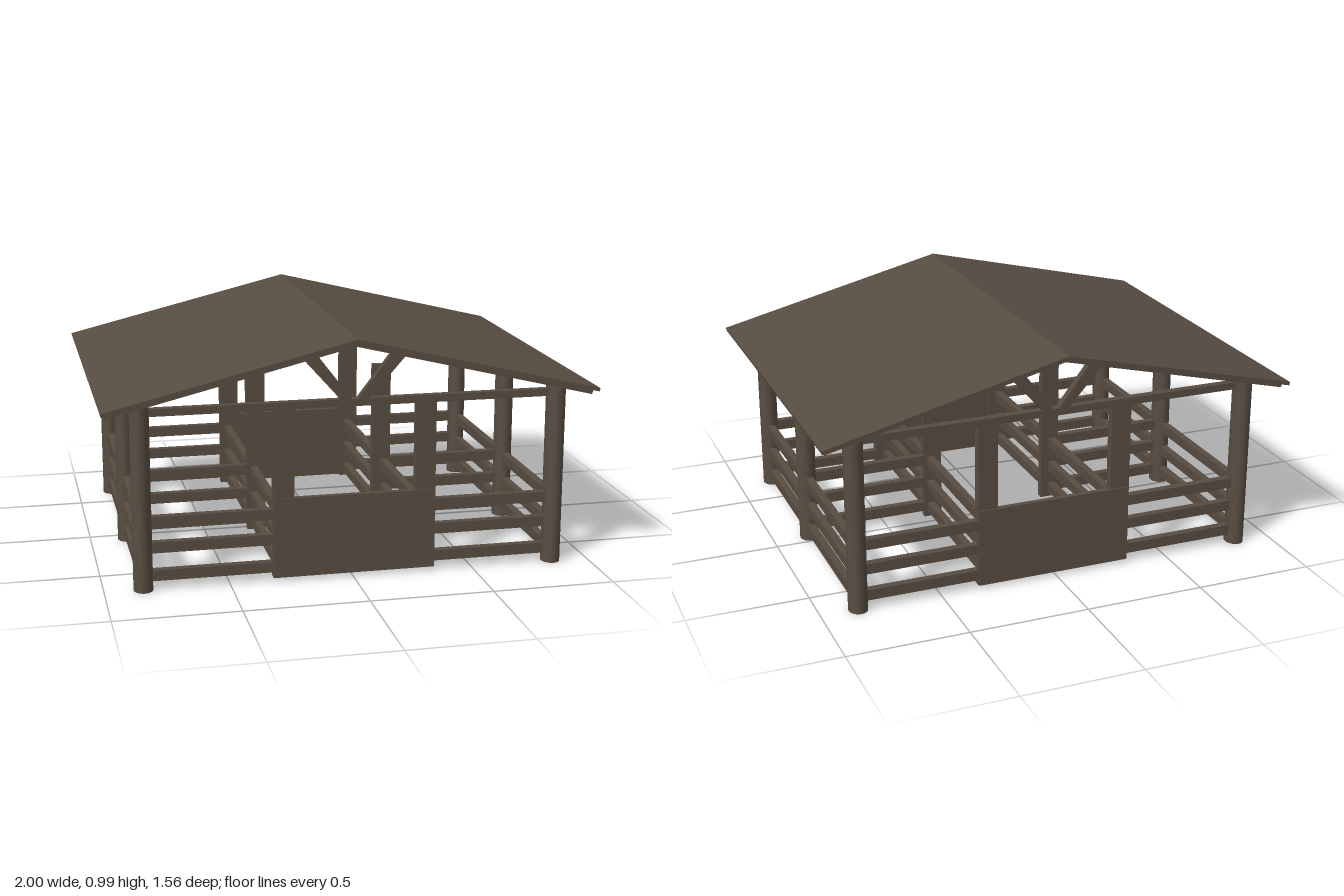
import * as THREE from 'three';

const wood = new THREE.MeshStandardMaterial({ color: 0x574c41 });
wood.name = 'darkWood';

const FRONT = 0.69, MIDDLE = 0.05, BACK = -0.66; // rows of posts along z
const POST_X = 0.845, AISLE_X = 0.29;

export function createModel() {
  const model = new THREE.Group();
  model.name = 'openBarn';

  function add(name, geometry, x = 0, y = 0, z = 0) {
    const mesh = new THREE.Mesh(geometry, wood);
    mesh.name = name;
    mesh.position.set(x, y, z);
    model.add(mesh);
    return mesh;
  }

  // Box given by its minimum and maximum on each axis
  function box(name, x0, x1, y0, y1, z0, z1) {
    return add(name, new THREE.BoxGeometry(x1 - x0, y1 - y0, z1 - z0),
      (x0 + x1) / 2, (y0 + y1) / 2, (z0 + z1) / 2);
  }

  // Gabled roof layer: a bent strip extruded along z
  function roofLayer(name, halfWidth, peak, eave, thickness, depth) {
    const s = new THREE.Shape();
    const inset = thickness * 0.25; // square-cut eave edge
    s.moveTo(-halfWidth, eave);
    s.lineTo(-halfWidth + inset, eave - thickness);
    s.lineTo(0, peak - thickness);
    s.lineTo(halfWidth - inset, eave - thickness);
    s.lineTo(halfWidth, eave);
    s.lineTo(0, peak);
    const g = new THREE.ExtrudeGeometry(s, { depth, bevelEnabled: false });
    add(name, g, 0, 0, -depth / 2);
  }
  roofLayer('roofCovering', 1, 0.988, 0.745, 0.014, 1.56);
  roofLayer('roofBoards', 0.985, 0.974, 0.735, 0.022, 1.49);

  // Round posts, slightly deeper than wide
  const postGeometry = new THREE.CylinderGeometry(1, 1, 0.75, 24);
  postGeometry.scale(0.039, 1, 0.046);
  for (const side of [-1, 1])
    for (const z of [FRONT, MIDDLE, BACK]) add('post', postGeometry, side * POST_X, 0.375, z);

  // Rails along the sides and the central aisle
  for (const side of [-1, 1]) {
    for (const y of [0.055, 0.16, 0.274]) {
      for (const [z0, z1] of [[MIDDLE, FRONT], [BACK, MIDDLE]]) {
        for (const x of [POST_X, AISLE_X])
          box('sideRail', side * x - 0.016, side * x + 0.016, y - 0.021, y + 0.021, z0, z1);
      }
    }
    // Rails across the front, the middle and the back
    for (const y of [0.06, 0.175, 0.28]) {
      for (const z of [FRONT, MIDDLE, BACK]) {
        const a = side * AISLE_X, b = side * (POST_X - 0.02);
        box('crossRail', Math.min(a, b), Math.max(a, b), y - 0.022, y + 0.022, z - 0.016, z + 0.016);
      }
    }
    // Uprights inside, halfway along the aisle
    box('aisleUpright', side * 0.28 - 0.04, side * 0.28 + 0.04, 0.01, 0.72, MIDDLE - 0.016, MIDDLE + 0.016);
  }

  // Gable ends: door uprights, half door, tie beam and struts
  for (const [z, out] of [[FRONT, 1], [BACK, -1]]) {
    box('doorUpright', -0.325, -0.24, 0.015, 0.73, z - 0.018, z + 0.018);
    box('doorUpright', 0.257, 0.34, 0.015, 0.73, z - 0.018, z + 0.018);
    const face = z + out * 0.012;
    box('halfDoor', -0.32, 0.335, 0.016, 0.345, face - 0.012, face + 0.012);
    box('tieBeam', -0.82, 0.82, 0.705, 0.735, z - 0.016, z + 0.016);
    for (const side of [-1, 1]) {
      const strut = new THREE.Shape();
      const c = 0.006;
      strut.moveTo(c + side * 0.005, 0.725);
      strut.lineTo(c + side * 0.05, 0.725);
      strut.lineTo(c + side * 0.215, 0.91);
      strut.lineTo(c + side * 0.155, 0.92);
      const g = new THREE.ExtrudeGeometry(strut, { depth: 0.03, bevelEnabled: false });
      add('gableStrut', g, 0, 0, z - 0.015);
    }
  }
  return model;
}
